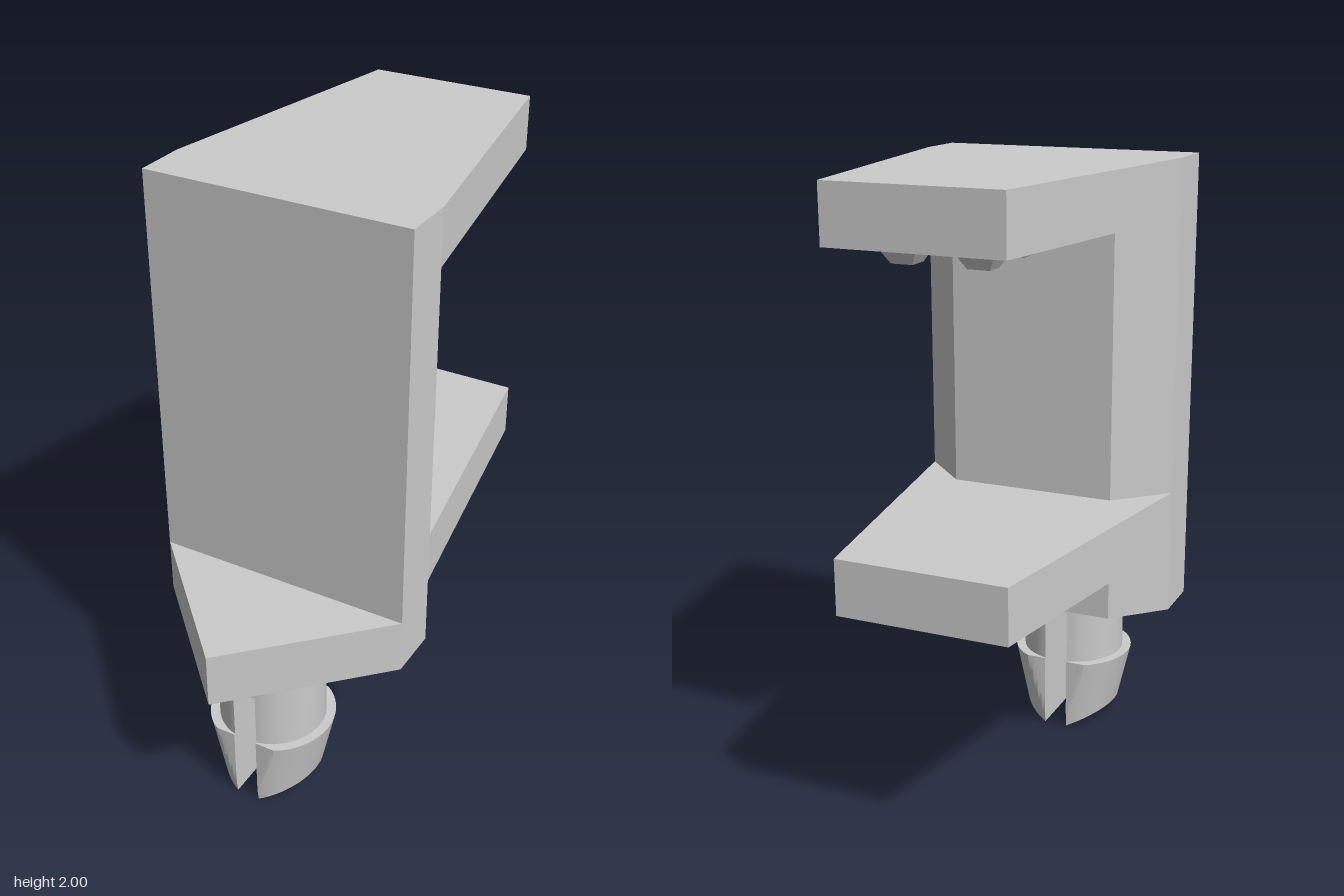
import * as THREE from 'three';
import { toCreasedNormals } from 'three/addons/utils/BufferGeometryUtils.js';

const material = new THREE.MeshStandardMaterial({ color: 0xcccccc });
const PEG_Z = 0.408, PEG_R = 0.174, SLOT = 0.04;

function part(group, name, geometry) {
  const mesh = new THREE.Mesh(geometry, material);
  mesh.name = name;
  group.add(mesh);
  return mesh;
}

// Upright prism from a plan outline of [x, z] points
function prism(outline, y0, y1) {
  const shape = new THREE.Shape(outline.map(([x, z]) => new THREE.Vector2(x, -z)));
  const geo = new THREE.ExtrudeGeometry(shape, { depth: y1 - y0, bevelEnabled: false });
  return geo.rotateX(-Math.PI / 2).translate(0, y0, 0);
}

// Closed solid from stacked loops of points, bottom loop first
function loft(loops) {
  const n = loops[0].length, index = [];
  for (let r = 0; r < loops.length - 1; r++) {
    for (let i = 0; i < n; i++) {
      const a = r * n + i, b = r * n + (i + 1) % n;
      index.push(a, a + n, b, b, a + n, b + n);
    }
  }
  const top = (loops.length - 1) * n;
  for (let i = 1; i < n - 1; i++) {
    index.push(0, i, i + 1, top, top + i + 1, top + i);
  }
  const geo = new THREE.BufferGeometry();
  geo.setAttribute('position', new THREE.Float32BufferAttribute(loops.flat(2), 3));
  geo.setIndex(index);
  return toCreasedNormals(geo, 0.35);
}

// One level of a peg prong: a half ellipse cut by the slot and by flat sides
function prongLoop(rx, rz, heightAt) {
  const loop = [], steps = 32;
  for (let i = 0; i <= steps; i++) {
    const k = (i / steps) * 2 - 1;
    let x = rx(0.1), y = 0, z = 0;
    for (let pass = 0; pass < 6; pass++) {
      y = heightAt(x);
      const angle = k * Math.acos(SLOT / rx(y));
      x = rx(y) * Math.cos(angle);
      z = THREE.MathUtils.clamp(rz(y) * Math.sin(angle), -PEG_R, PEG_R);
    }
    loop.push([x, y, z]);
  }
  return loop;
}

export function createModel() {
  const model = new THREE.Group();
  model.name = 'clampBracket';

  // Upright wall with its bevelled backing rib
  part(model, 'wall', prism([[-0.425, 0.34], [0.425, 0.34], [0.425, 0.17], [-0.425, 0.17]], 0.54, 2));
  part(model, 'backRib', prism([[-0.425, 0.17], [0.425, 0.17], [0.27, 0.02], [-0.27, 0.02]], 0.54, 1.83));

  // Tapered jaws reaching backwards
  const jaw = [[-0.425, 0.17], [0.425, 0.17], [0.27, -0.765], [-0.27, -0.765]];
  part(model, 'upperJaw', prism(jaw, 1.825, 2));
  part(model, 'lowerJaw', prism(jaw, 0.77, 0.945));

  // Pointed foot in front
  part(model, 'frontFoot', prism([[-0.425, 0.34], [0.425, 0.34], [0, 0.765]], 0.54, 0.72));

  // Four gripping teeth under the upper jaw
  for (const x of [-0.115, 0.115]) {
    for (const z of [-0.34, -0.57]) {
      const tooth = new THREE.CylinderGeometry(0.067 * Math.SQRT2, 0.033 * Math.SQRT2, 0.06, 4).toNonIndexed();
      tooth.rotateY(Math.PI / 4);
      tooth.computeVertexNormals();
      part(model, 'gripTooth', tooth).position.set(x, 1.795, z);
    }
  }

  // Split snap peg: solid neck, then two barbed prongs
  const peg = new THREE.Group();
  peg.name = 'snapPeg';
  peg.position.z = PEG_Z;
  model.add(peg);
  part(peg, 'pegNeck', new THREE.CylinderGeometry(PEG_R, PEG_R, 0.105, 64)).position.y = 0.4875;

  const round = () => PEG_R;
  const shank = loft([0.25, 0.435].map((y) => prongLoop(round, round, () => y)));

  const barbX = (y) => 0.147 + 0.232 * y;
  const barbZ = (y) => 0.174 + 0.124 * y;
  const levels = [0, 0.15, 0.3, 0.45, 0.6, 0.75, 0.9, 1];
  const barb = loft(levels.map((t) =>
    prongLoop(barbX, barbZ, (x) => THREE.MathUtils.lerp(0.46 * (x - SLOT), 0.25, t))));

  for (const turn of [0, Math.PI]) {
    part(peg, 'prongShank', shank).rotation.y = turn;
    part(peg, 'prongBarb', barb).rotation.y = turn;
  }
  return model;
}
